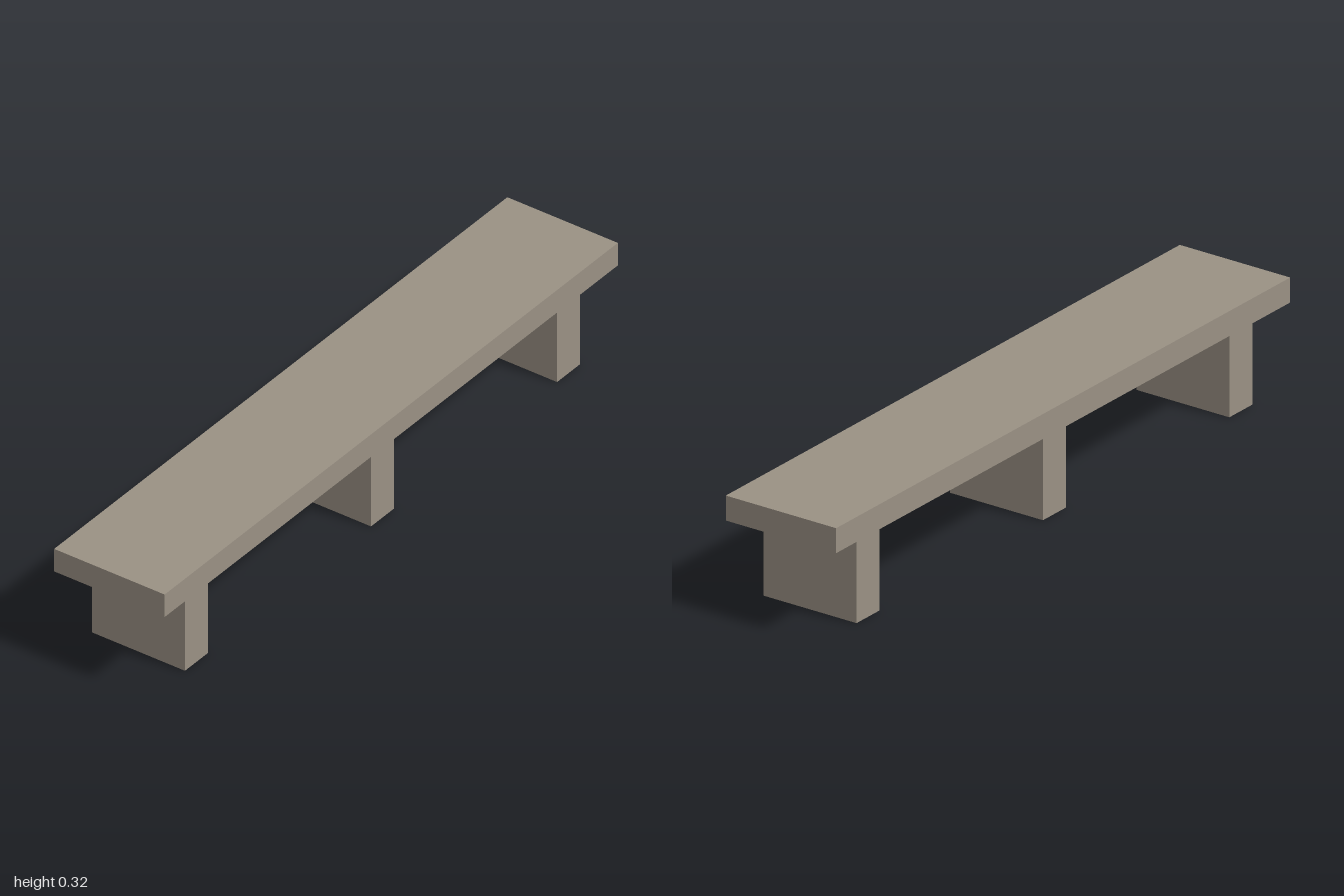
import * as THREE from 'three';

export function createModel() {
  const model = new THREE.Group();
  model.name = 'bench';
  const stone = new THREE.MeshStandardMaterial({ color: 0x9a9184, side: THREE.DoubleSide });
  stone.name = 'warm grey stone';

  const legHeight = 0.252, slabHeight = 0.071;

  // Long seat slab
  const seat = new THREE.Mesh(new THREE.BoxGeometry(0.356, slabHeight, 2), stone);
  seat.name = 'seat';
  seat.position.y = legHeight + slabHeight / 2;
  model.add(seat);

  // Hollow block legs: four walls, open at top and bottom
  const legGeometry = new THREE.BoxGeometry(0.3, legHeight, 0.102);
  const index = Array.from(legGeometry.index.array);
  index.splice(12, 12); // drop the top and bottom faces
  legGeometry.setIndex(index);
  legGeometry.clearGroups();

  const legs = { frontLeg: 0.821, middleLeg: 0, backLeg: -0.821 };
  for (const [name, z] of Object.entries(legs)) {
    const leg = new THREE.Mesh(legGeometry, stone);
    leg.name = name;
    leg.position.set(0, legHeight / 2, z);
    model.add(leg);
  }
  return model;
}
